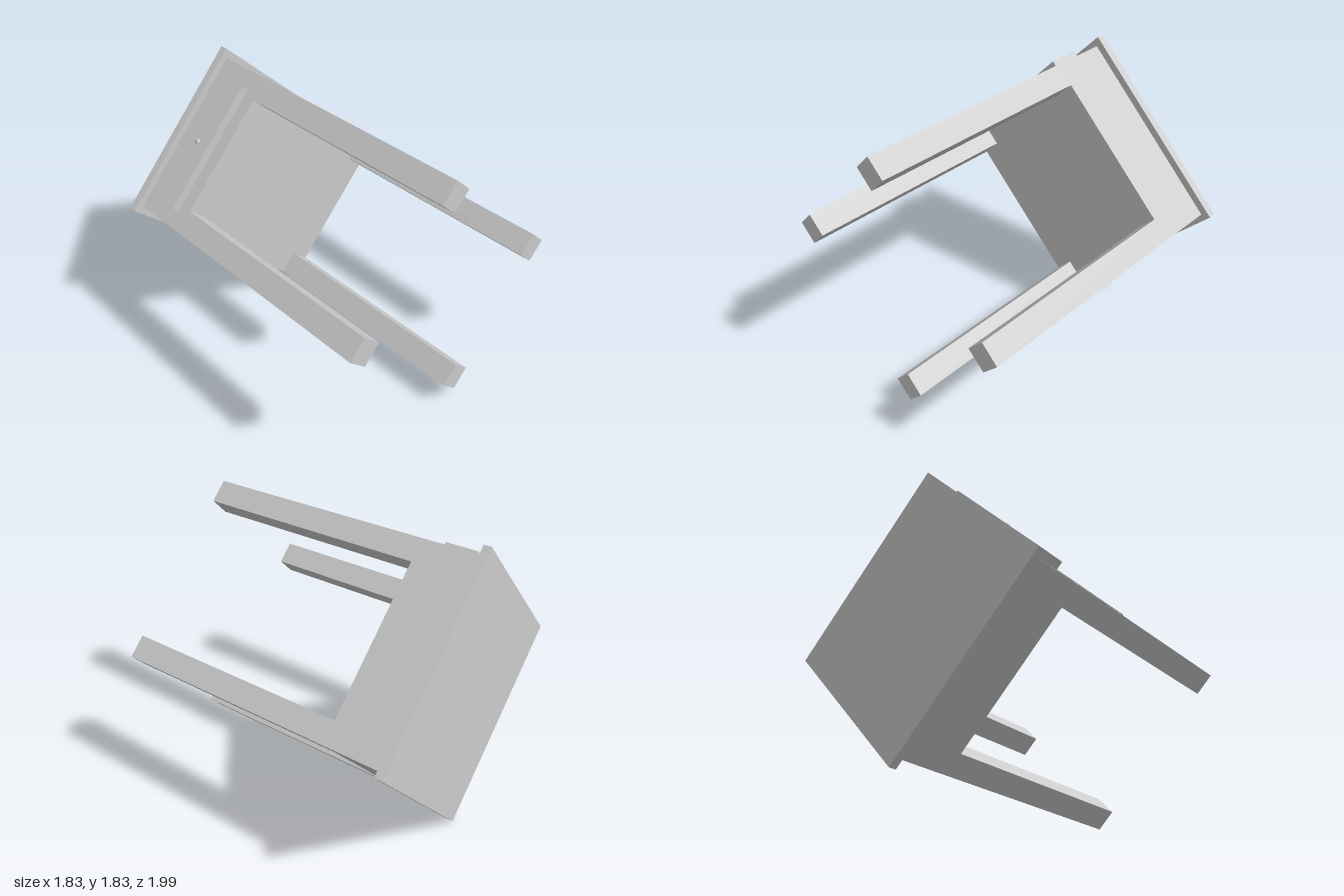
import * as THREE from 'three';

const material = new THREE.MeshStandardMaterial({ color: 0xcccccc, flatShading: true });

// Box given by its size and centre in the table's own axes
function box(name, w, h, d, x, y, z) {
  const mesh = new THREE.Mesh(new THREE.BoxGeometry(w, h, d), material);
  mesh.name = name;
  mesh.position.set(x, y, z);
  return mesh;
}

export function createModel() {
  const model = new THREE.Group();
  model.name = 'sideTable';

  // The table lies with its legs pointing to +z, turned on its corner
  const table = new THREE.Group();
  table.name = 'table';
  table.position.set(0, 0.915, 0);
  table.rotation.set(0, 0.0095, THREE.MathUtils.degToRad(46.3), 'YXZ');
  model.add(table);

  const width = 1.1, depth = 1.3, leg = 0.152;
  const underside = -0.552, foot = 0.988;

  // Tabletop with a small overhang, and the solid drawer case under it
  table.add(box('tableTop', 1.2, 1.386, 0.05, 0, 0, -0.965));
  table.add(box('drawerCase', width, depth, underside + 0.94, 0, 0, (underside - 0.94) / 2));

  // Four square legs flush with the corners of the case
  for (const sx of [-1, 1]) {
    for (const sy of [-1, 1]) {
      table.add(box('leg', leg, leg, foot - underside,
        sx * (width - leg) / 2, sy * (depth - leg) / 2, (foot + underside) / 2));
    }
  }

  // Raised drawer front with a tiny faceted knob
  table.add(box('drawerFront', 0.875, 0.075, 0.215, 0, depth / 2 + 0.0175, -0.745));
  const knob = new THREE.Mesh(new THREE.ConeGeometry(0.035, 0.012, 4), material);
  knob.name = 'knob';
  knob.position.set(0, depth / 2 + 0.059, -0.742);
  table.add(knob);

  return model;
}
